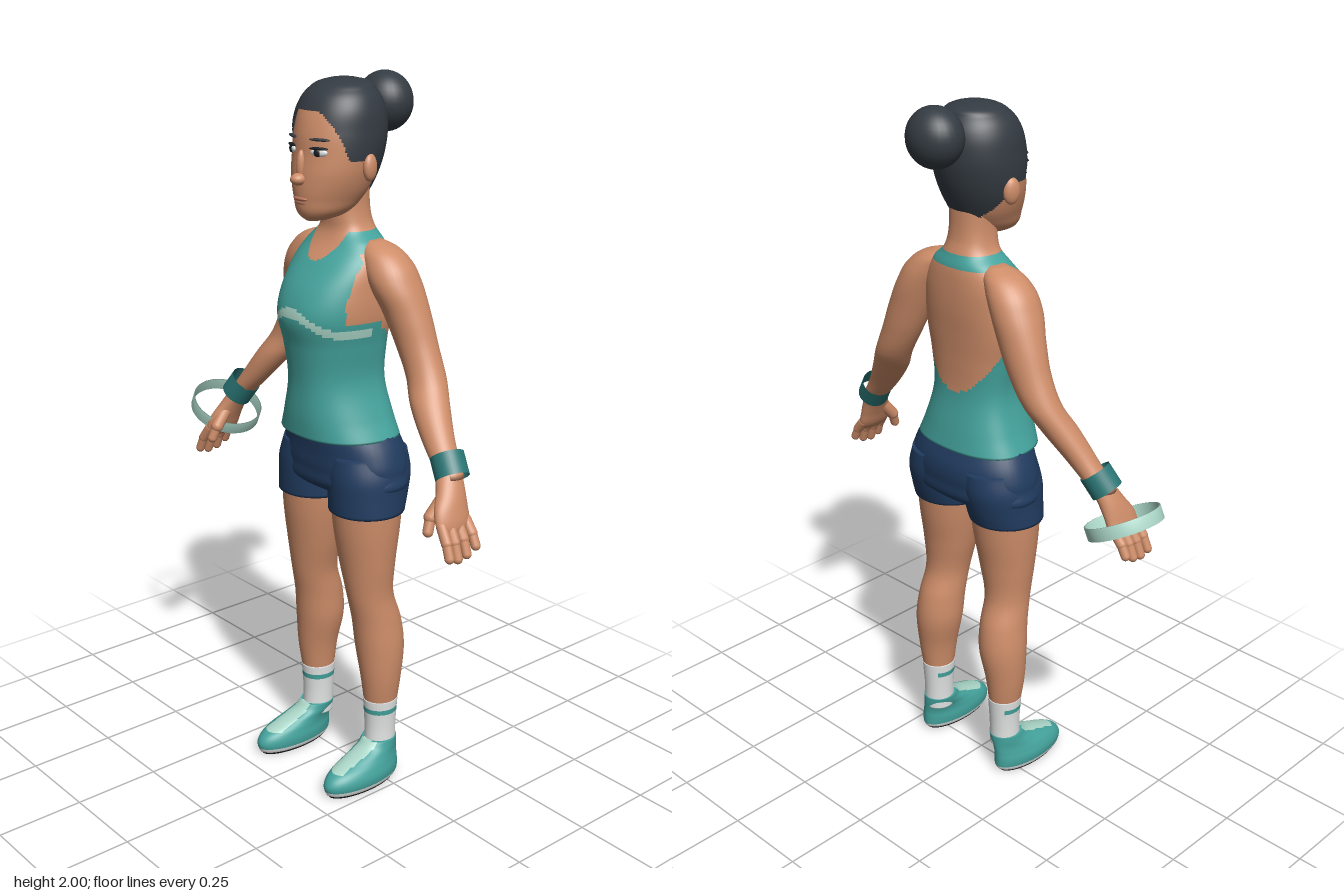
import * as THREE from 'three';

const mat = (name, color, side = THREE.FrontSide) => {
  const m = new THREE.MeshStandardMaterial({ color, side });
  m.name = name;
  return m;
};
const skin = mat('skin', 0xce8d69);
const hairMat = mat('hair', 0x343b42, THREE.DoubleSide);
const teal = mat('teal', 0x44a29c);
const darkTeal = mat('darkTeal', 0x2b7676, THREE.DoubleSide);
const mint = mat('mint', 0xabd6c8);
const navy = mat('navy', 0x213c60);
const white = mat('white', 0xe2e4e4);
const black = mat('black', 0x1b1d21);
const lip = mat('lip', 0xb9745a);

// Horizontal cross-sections [y, cx, cz, rx, front depth, back depth], bottom to top.
// paint(x, y, z) picks a material index for each face, or -1 to leave it out.
function loft(name, mats, sections, { seg = 32, rows = 6, power = 2, paint = () => 0 } = {}) {
  const spline = new THREE.CubicInterpolant(sections.map(s => s[0]), sections.flatMap(s => s.slice(1)), 5);
  const ys = [];
  for (let k = 0; k < sections.length - 1; k++)
    for (let r = 0; r < rows; r++) ys.push(THREE.MathUtils.lerp(sections[k][0], sections[k + 1][0], r / rows));
  ys.push(sections.at(-1)[0]);
  const pos = [], faces = mats.map(() => []);
  const round = v => Math.sign(v) * Math.abs(v) ** (2 / power);
  for (const y of ys) {
    const [cx, cz, rx, f, b] = spline.evaluate(y);
    for (let i = 0; i < seg; i++) {
      const a = (i / seg) * Math.PI * 2, c = Math.cos(a);
      pos.push(cx + rx * round(Math.sin(a)), y, cz + (c > 0 ? f : b) * round(c));
    }
  }
  const tri = (...v) => {
    const mid = k => v.reduce((sum, i) => sum + pos[i * 3 + k], 0) / v.length;
    const m = paint(mid(0), mid(1), mid(2));
    if (m < 0) return;
    faces[m].push(v[0], v[1], v[2]);
    if (v.length === 4) faces[m].push(v[0], v[2], v[3]);
  };
  const top = (ys.length - 1) * seg, low = pos.length / 3;
  for (const s of [sections[0], sections.at(-1)]) pos.push(s[1], s[0], s[2]);
  for (let i = 0; i < seg; i++) {
    const n = (i + 1) % seg;
    for (let j = 0; j < ys.length - 1; j++) tri(j * seg + i, j * seg + n, (j + 1) * seg + n, (j + 1) * seg + i);
    tri(low, n, i);
    tri(low + 1, top + i, top + n);
  }
  const g = new THREE.BufferGeometry();
  g.setAttribute('position', new THREE.Float32BufferAttribute(pos, 3));
  g.setIndex(faces.flat());
  let start = 0;
  faces.forEach((f, m) => { g.addGroup(start, f.length, m); start += f.length; });
  g.computeVertexNormals();
  const mesh = new THREE.Mesh(g, mats);
  mesh.name = name;
  return mesh;
}

const mirror = (sections, s) => sections.map(([y, cx, ...rest]) => [y, cx * s, ...rest]);

function ball(name, m, [x, y, z], [rx, ry, rz], turn = 0) {
  const mesh = new THREE.Mesh(new THREE.SphereGeometry(1, 28, 20), m);
  mesh.name = name;
  mesh.position.set(x, y, z);
  mesh.scale.set(rx, ry, rz);
  mesh.rotation.y = turn;
  return mesh;
}

function rod(name, m, from, to, r, open = false) {
  const a = new THREE.Vector3(...from), b = new THREE.Vector3(...to), d = b.clone().sub(a);
  const g = open ? new THREE.CylinderGeometry(r, r, d.length(), 32, 1, true)
    : new THREE.CapsuleGeometry(r, d.length(), 6, 12);
  const mesh = new THREE.Mesh(g, m);
  mesh.name = name;
  mesh.position.copy(a).add(b).multiplyScalar(0.5);
  mesh.quaternion.setFromUnitVectors(new THREE.Vector3(0, 1, 0), d.normalize());
  return mesh;
}

// Open-backed top: straps, round neck, chest stripe, bare back
function paintTorso(x, y, z) {
  const ax = Math.abs(x);
  if (y > 1.6) return 0;
  if (z < 0) return y < 1.21 + 0.13 * (ax / 0.14) ** 2 || (y > 1.563 && ax < 0.105) ? 1 : 0;
  if ((x / 0.062) ** 2 + ((y - 1.605) / 0.08) ** 2 < 1) return 0;
  if (y > 1.37 && (ax > 0.131 || (y < 1.55 && z < 0.05))) return 0;
  const stripe = 1.393 - 0.05 * THREE.MathUtils.smoothstep(ax, 0.015, 0.13);
  return z > 0.03 && Math.abs(y - stripe) < 0.012 ? 2 : 1;
}

// Hairline: high over the forehead, down before the ears, low at the nape
function paintHair(x, y, z) {
  const line = z > 0.08 ? 1.79 + 0.125 * Math.min(1, (z - 0.08) / 0.045)
    : 1.69 + 0.1 * THREE.MathUtils.clamp((z + 0.04) / 0.07, 0, 1);
  return y > line ? 0 : -1;
}

export function createModel() {
  const model = new THREE.Group();
  model.name = 'athlete';
  const body = new THREE.Group();
  body.name = 'body';
  body.position.x = 0.03;
  model.add(body);

  // Torso and neck
  body.add(loft('torso', [skin, teal, mint], [
    [1.045, 0, 0, 0.18, 0.162, 0.108], [1.1, 0, 0, 0.155, 0.165, 0.098], [1.2, 0, 0, 0.126, 0.165, 0.08],
    [1.3, 0, 0, 0.135, 0.178, 0.08], [1.38, 0, 0, 0.15, 0.193, 0.085], [1.45, 0, 0, 0.152, 0.17, 0.09],
    [1.52, 0, 0, 0.145, 0.118, 0.09], [1.57, 0, 0, 0.115, 0.075, 0.085], [1.6, 0, 0, 0.08, 0.06, 0.075],
    [1.635, 0, 0, 0.066, 0.058, 0.064], [1.74, 0, 0, 0.062, 0.062, 0.058],
  ], { seg: 160, rows: 10, power: 2.3, paint: paintTorso }));

  // Shorts
  body.add(loft('shortsHips', [navy], [
    [0.875, 0, 0, 0.12, 0.07, 0.06], [0.89, 0, 0, 0.19, 0.11, 0.1], [0.95, 0, 0, 0.212, 0.13, 0.122],
    [1.0, 0, 0, 0.202, 0.132, 0.122], [1.05, 0, 0, 0.178, 0.135, 0.106], [1.09, 0, 0, 0.15, 0.13, 0.09],
  ], { seg: 48, power: 2.2 }));

  // Head
  const head = [
    [1.632, 0, 0.095, 0.022, 0.035, 0.04], [1.645, 0, 0.08, 0.05, 0.066, 0.07], [1.69, 0, 0.05, 0.082, 0.107, 0.09],
    [1.75, 0, 0.04, 0.106, 0.116, 0.11], [1.8, 0, 0.03, 0.115, 0.119, 0.118], [1.86, 0, 0.02, 0.116, 0.122, 0.118],
    [1.92, 0, 0.02, 0.105, 0.1, 0.11], [1.955, 0, 0.015, 0.083, 0.078, 0.085], [1.975, 0, 0.01, 0.055, 0.05, 0.06],
    [1.983, 0, 0.01, 0.022, 0.02, 0.025],
  ];
  body.add(loft('head', [skin], head, { seg: 64 }));
  const hair = head.slice(2).map(([y, cx, cz, ...r]) => [y > 1.9 ? y + 0.006 : y, cx, cz, ...r.map(v => v + 0.007)]);
  body.add(loft('hair', [hairMat], hair, { seg: 128, rows: 12, paint: paintHair }));
  body.add(ball('bun', hairMat, [0, 1.918, -0.135], [0.081, 0.08, 0.072]));
  body.add(ball('noseTip', skin, [0, 1.743, 0.158], [0.02, 0.016, 0.024]));
  body.add(ball('noseBridge', skin, [0, 1.775, 0.149], [0.012, 0.042, 0.014]));
  body.add(ball('upperLip', lip, [0, 1.692, 0.153], [0.026, 0.006, 0.009]));
  body.add(ball('lowerLip', lip, [0, 1.682, 0.149], [0.022, 0.007, 0.009]));

  for (const s of [1, -1]) {
    const side = s > 0 ? 'left' : 'right';
    const at = (x, y, z) => [x * s, y, z];

    // Face details
    body.add(ball(side + 'Ear', skin, at(0.119, 1.773, 0.02), [0.016, 0.036, 0.024], 0.3 * s));
    body.add(ball(side + 'Eye', white, at(0.053, 1.814, 0.134), [0.024, 0.011, 0.008], 0.42 * s));
    body.add(ball(side + 'Iris', black, at(0.052, 1.814, 0.138), [0.011, 0.011, 0.007], 0.42 * s));
    body.add(ball(side + 'Lashes', black, at(0.054, 1.824, 0.136), [0.027, 0.004, 0.007], 0.42 * s));
    body.add(ball(side + 'Eyebrow', hairMat, at(0.054, 1.846, 0.133), [0.03, 0.004, 0.007], 0.42 * s));

    // Arm and palm
    body.add(loft(side + 'Arm', [skin], mirror([
      [1.03, 0.452, 0.03, 0.036, 0.034, 0.034], [1.1, 0.39, 0.015, 0.047, 0.04, 0.04],
      [1.18, 0.328, -0.01, 0.056, 0.049, 0.049], [1.24, 0.288, -0.033, 0.057, 0.05, 0.05],
      [1.32, 0.244, -0.038, 0.062, 0.053, 0.053], [1.4, 0.21, -0.033, 0.067, 0.062, 0.06],
      [1.48, 0.175, -0.02, 0.069, 0.072, 0.072], [1.53, 0.148, -0.015, 0.066, 0.062, 0.066],
      [1.565, 0.118, -0.012, 0.05, 0.042, 0.048], [1.58, 0.1, -0.012, 0.025, 0.02, 0.025],
    ], s)));
    body.add(loft(side + 'Palm', [skin], mirror([
      [0.9, 0.507, 0.065, 0.013, 0.042, 0.04], [0.92, 0.5, 0.063, 0.022, 0.055, 0.052],
      [0.96, 0.485, 0.058, 0.027, 0.055, 0.052], [1.0, 0.467, 0.044, 0.03, 0.044, 0.042],
      [1.05, 0.437, 0.028, 0.034, 0.034, 0.034],
    ], s)));
    [0.022, 0.051, 0.08, 0.107].forEach((z, i) => {
      const drop = [0.02, 0.005, 0, 0.008][i];
      const knuckle = at(0.527, 0.885 + drop / 2, z * 1.05);
      body.add(rod(side + 'Finger' + (i + 1), skin, at(0.502, 0.925, z), knuckle, 0.0145));
      body.add(rod(side + 'Fingertip' + (i + 1), skin, knuckle, at(0.542, 0.845 + drop, z * 1.08), 0.013));
    });
    body.add(rod(side + 'ThumbBase', skin, at(0.467, 0.985, 0.07), at(0.462, 0.94, 0.108), 0.018));
    body.add(rod(side + 'Thumb', skin, at(0.462, 0.94, 0.108), at(0.468, 0.905, 0.122), 0.014));
    body.add(rod(side + 'Wristband', darkTeal, at(0.463, 1.028, 0.034), at(0.427, 1.078, 0.022), 0.045, true));

    // Leg and shorts leg
    body.add(loft(side + 'Leg', [skin], mirror([
      [0.22, 0.141, -0.015, 0.043, 0.047, 0.047], [0.32, 0.142, -0.013, 0.056, 0.058, 0.062],
      [0.42, 0.133, -0.015, 0.069, 0.07, 0.073], [0.5, 0.128, -0.007, 0.067, 0.071, 0.072],
      [0.58, 0.123, 0.012, 0.065, 0.068, 0.067], [0.68, 0.116, 0.017, 0.081, 0.078, 0.077],
      [0.78, 0.111, 0.017, 0.095, 0.091, 0.092], [0.88, 0.108, 0.015, 0.103, 0.098, 0.1],
    ], s), { seg: 40 }));
    body.add(loft(side + 'ShortsLeg', [navy], mirror([
      [0.835, 0.111, 0.017, 0.107, 0.105, 0.105], [0.88, 0.109, 0.012, 0.107, 0.112, 0.115],
      [0.94, 0.106, 0.005, 0.107, 0.12, 0.122], [1.0, 0.095, 0, 0.1, 0.118, 0.115],
    ], s), { seg: 40 }));

    // Sock with stripe
    body.add(loft(side + 'Sock', [white, teal], mirror([
      [0.09, 0.142, -0.013, 0.043, 0.048, 0.047], [0.16, 0.141, -0.015, 0.043, 0.047, 0.046],
      [0.25, 0.141, -0.015, 0.048, 0.052, 0.052],
    ], s), { rows: 24, paint: (x, y, z) => (y > 0.207 && y < 0.223 && z > -0.05 ? 1 : 0) }));

    // Shoe with sole, pale rim and tongue
    const shoePaint = (x, y, z) => {
      if (y < 0.007) return 1;
      if (y < 0.02) return 2;
      return y > 0.068 && z > 0.02 && Math.abs(x - s * 0.148) < 0.028 ? 3 : 0;
    };
    body.add(loft(side + 'Shoe', [teal, black, white, mint], mirror([
      [0, 0.156, 0.07, 0.046, 0.118, 0.115], [0.014, 0.156, 0.07, 0.054, 0.128, 0.127],
      [0.04, 0.156, 0.07, 0.058, 0.13, 0.13], [0.065, 0.154, 0.06, 0.053, 0.115, 0.12],
      [0.085, 0.15, 0.03, 0.048, 0.092, 0.091], [0.105, 0.145, 0, 0.047, 0.066, 0.062],
      [0.125, 0.142, -0.012, 0.047, 0.052, 0.05],
    ], s), { seg: 64, rows: 8, paint: shoePaint }));
  }

  // Hoop held in the right hand
  const band = [[0.101, -0.018], [0.105, -0.018], [0.105, 0.018], [0.101, 0.018], [0.101, -0.018]];
  const hoop = new THREE.Mesh(new THREE.LatheGeometry(band.map(p => new THREE.Vector2(...p)), 64), mint);
  hoop.name = 'hoop';
  hoop.position.set(-0.505, 0.967, 0.02);
  hoop.rotation.z = -0.45;
  model.add(hoop);
  return model;
}
